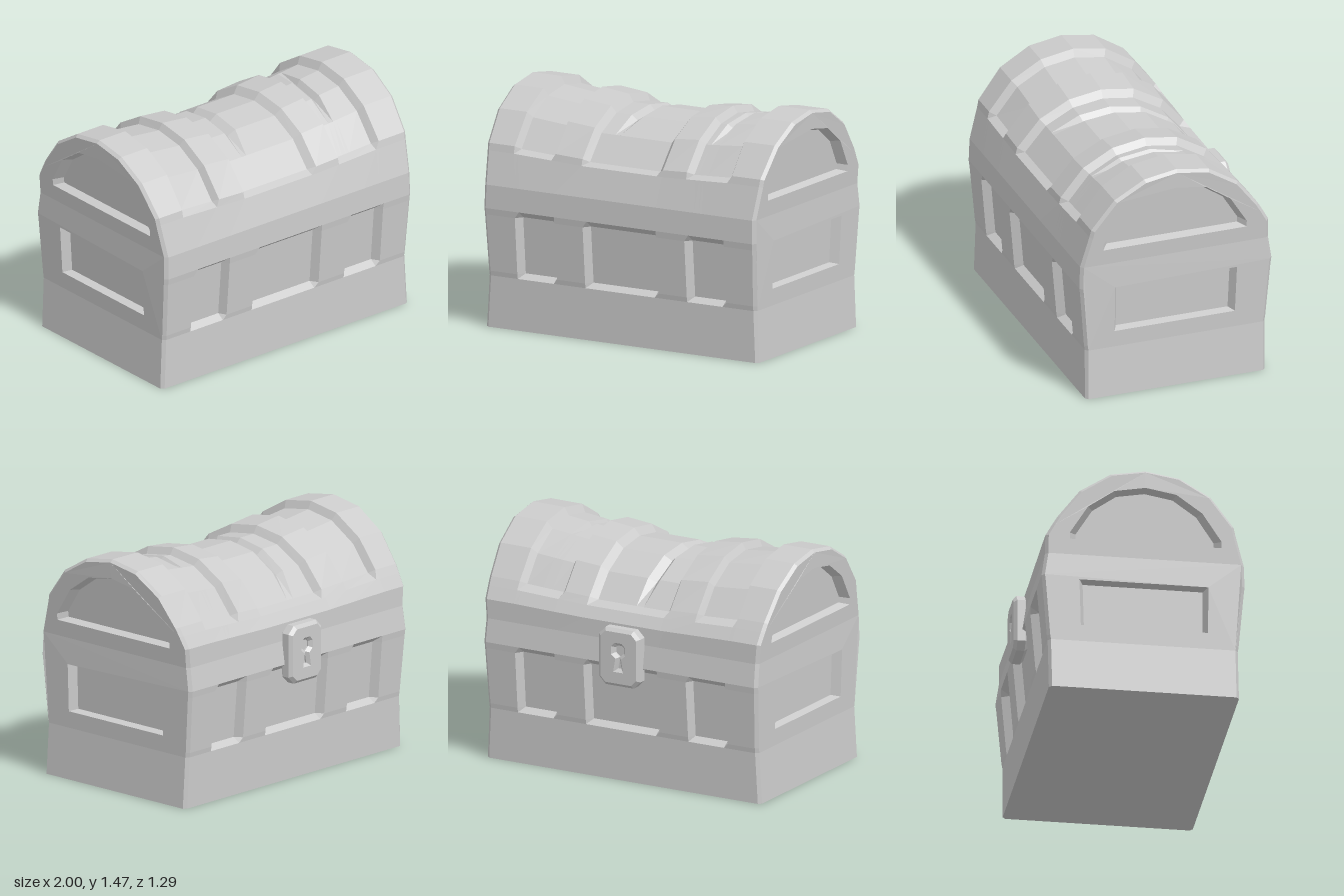
import * as THREE from 'three';

const material = new THREE.MeshStandardMaterial({ color: 0xcccccc, flatShading: true });

// Cross-section [z, y, recess] from front foot over the lid to back foot (1 = wall panel, 2 = lid panel)
const PROFILE = [
  [0.61, 0], [0.605, 0.32], [0.61, 0.35, 1], [0.64, 0.705, 1], [0.645, 0.745], [0.64, 0.89],
  [0.585, 1.09], [0.575, 1.135, 2], [0.43, 1.32, 2], [0.24, 1.43, 2], [0.03, 1.465, 2],
  [-0.18, 1.43, 2], [-0.37, 1.31, 2], [-0.505, 1.135, 2], [-0.535, 1.085], [-0.577, 1.01],
  [-0.578, 0.89], [-0.6, 0.745], [-0.595, 0.705, 1], [-0.565, 0.35, 1], [-0.56, 0.32], [-0.555, 0],
];
const SEAM = 0.89;

// Columns [x on lid, x on wall, inside panel, crack number]
const COLUMNS = [
  [-0.78, -0.74], [-0.755, -0.71, 1], [-0.515, -0.485, 1], [-0.49, -0.46],
  [-0.3, -0.26], [-0.27, -0.23, 1], [-0.15, -0.15, 1, 1], [-0.115, -0.115, 1, 2], [-0.065, -0.065, 1, 1],
  [0.23, 0.23, 1], [0.27, 0.26],
  [0.44, 0.46], [0.47, 0.49, 1], [0.53, 0.53, 1, 1], [0.565, 0.565, 1, 3], [0.59, 0.59, 1, 1],
  [0.73, 0.71, 1], [0.76, 0.74],
];

// Half length of the chest at height y
const ENDS = [[0, 0.965], [0.3, 0.948], [0.8, 0.965], [0.89, 0.96], [1.4, 1], [2, 1]];
function halfLength(y) {
  const k = Math.max(1, ENDS.findIndex((e) => e[0] >= y));
  const [a, b] = [ENDS[k - 1], ENDS[k]];
  return THREE.MathUtils.mapLinear(y, a[0], b[0], a[1], b[1]);
}

// Chamfered outline where the skin meets the end walls
const endPoint = ([z, y]) => [0.03 + (z - 0.03) * 0.97, y > SEAM ? SEAM + (y - SEAM) * 0.97 : y];

function makeMesh(name, positions) {
  const geometry = new THREE.BufferGeometry();
  geometry.setAttribute('position', new THREE.Float32BufferAttribute(positions, 3));
  geometry.computeVertexNormals();
  const mesh = new THREE.Mesh(geometry, material);
  mesh.name = name;
  return mesh;
}

const quad = (out, a, b, c, d) => out.push(...a, ...b, ...c, ...a, ...c, ...d);

// One line of skin points running from the right end to the left end
function skinRow([z, y, kind = 0]) {
  const onLid = y > SEAM;
  const normal = onLid ? new THREE.Vector2(z - 0.03, y - 0.85).normalize() : new THREE.Vector2(Math.sign(z), 0);
  const inner = COLUMNS.map(([lidX, wallX, inside, crack]) => {
    let x = onLid ? lidX : wallX;
    let depth = kind && inside ? (kind === 2 ? 0.045 : 0.05) : 0;
    if (onLid && crack) x -= 0.05 * z;
    if (kind === 2 && crack === 2 && z > -0.4 && z < 0.3) depth += 0.035;
    if (kind === 2 && crack === 3 && z > 0 && z < 0.3) depth += 0.035;
    // The lid sags towards the middle
    const sag = 0.055 * THREE.MathUtils.clamp((0.78 - Math.abs(x)) / 0.5, 0, 1);
    const drop = onLid ? sag * (y - SEAM) / 0.57 : 0;
    return [x, y - drop - normal.y * depth, z - normal.x * depth];
  });
  const [ez, ey] = endPoint([z, y]);
  const tip = halfLength(ey), shoulder = halfLength(y) - 0.02;
  return [[-tip, ey, ez], [-shoulder, y, z], ...inner, [shoulder, y, z], [tip, ey, ez]];
}

function addSkin(group) {
  const rows = PROFILE.map(skinRow);
  const last = rows.length - 1;
  const body = [], lid = [], base = [];
  for (let j = 0; j < rows[0].length - 1; j++) {
    for (let i = 0; i < last; i++) {
      const out = Math.max(PROFILE[i][1], PROFILE[i + 1][1]) > SEAM ? lid : body;
      quad(out, rows[i][j], rows[i][j + 1], rows[i + 1][j + 1], rows[i + 1][j]);
    }
    quad(base, rows[0][j], rows[last][j], rows[last][j + 1], rows[0][j + 1]);
  }
  group.add(makeMesh('bodyWalls', body), makeMesh('lid', lid), makeMesh('base', base));
}

// End wall with one tapered recess; points are [z, y]
function endWall(name, side, outline, recess, center, scale) {
  const out = [];
  const inset = recess.map(([z, y]) => [center[0] + (z - center[0]) * scale, center[1] + (y - center[1]) * scale]);
  const place = ([z, y], depth) => new THREE.Vector3(side * (halfLength(y) - depth), y, z);
  // Every face of the wall looks outwards along x
  const tri = (a, b, c) => {
    const n = b.clone().sub(a).cross(c.clone().sub(a));
    for (const p of n.x * side > 0 ? [a, b, c] : [a, c, b]) out.push(p.x, p.y, p.z);
  };
  const fill = (contour, holes, depth) => {
    const to2 = (list) => list.map((p) => new THREE.Vector2(p[0], p[1]));
    const points = [contour, ...holes].flat().map((p) => place(p, depth));
    for (const [a, b, c] of THREE.ShapeUtils.triangulateShape(to2(contour), holes.map(to2))) {
      tri(points[a], points[b], points[c]);
    }
  };
  fill(outline, [recess], 0);
  fill(inset, [], 0.055);
  recess.forEach((p, i) => {
    const k = (i + 1) % recess.length;
    const [a, b] = [place(p, 0), place(recess[k], 0)];
    const [c, d] = [place(inset[k], 0.055), place(inset[i], 0.055)];
    tri(a, b, c);
    tri(a, c, d);
  });
  return makeMesh(name, out);
}

function addEnds(group) {
  const lower = PROFILE.filter((p) => p[1] <= SEAM).map(endPoint);
  const upper = PROFILE.filter((p) => p[1] >= SEAM).map(endPoint);
  const panel = [[0.42, 0.425], [0.42, 0.725], [-0.37, 0.725], [-0.36, 0.425]];
  const arch = [[0.5, 0.99], [0.5, 1.03], [0.38, 1.205], [0.22, 1.315], [0.03, 1.348],
    [-0.16, 1.315], [-0.32, 1.205], [-0.43, 1.03], [-0.43, 0.99]];
  for (const [label, side] of [['left', 1], ['right', -1]]) {
    group.add(endWall(label + 'BodyEnd', side, lower, panel, [0.025, 0.57], 0.93));
    group.add(endWall(label + 'LidEnd', side, upper, arch, [0.035, 1.17], 0.91));
  }
}

// Bevelled lock plate with a keyhole, on the back
function makeLock() {
  const lock = new THREE.Group();
  lock.name = 'lock';
  const toPoints = (list) => list.map((p) => new THREE.Vector2(p[0], p[1]));
  const [w, h, c] = [0.125, 0.162, 0.035];
  const plate = new THREE.Shape(toPoints([[w - c, -h], [w, c - h], [w, h - c], [w - c, h],
    [c - w, h], [-w, h - c], [-w, c - h], [c - w, -h]]));
  plate.holes.push(new THREE.Path(toPoints([[-0.035, -0.09], [-0.02, -0.005], [-0.05, 0.02], [-0.05, 0.07],
    [-0.025, 0.095], [0.025, 0.095], [0.05, 0.07], [0.05, 0.02], [0.02, -0.005], [0.035, -0.09]])));
  const geometry = new THREE.ExtrudeGeometry(plate, {
    depth: 0.05, bevelEnabled: true, bevelThickness: 0.02, bevelSize: 0.02, bevelSegments: 1,
  });
  const plateMesh = new THREE.Mesh(geometry, material);
  plateMesh.name = 'lockPlate';
  const floor = new THREE.Mesh(new THREE.BoxGeometry(0.2, 0.28, 0.04), material);
  floor.name = 'keyholeFloor';
  floor.position.z = 0.02;
  lock.add(plateMesh, floor);
  lock.rotation.y = Math.PI;
  lock.position.set(-0.018, 0.803, -0.58);
  return lock;
}

export function createModel() {
  const chest = new THREE.Group();
  chest.name = 'chest';
  addSkin(chest);
  addEnds(chest);
  chest.add(makeLock());
  return chest;
}
